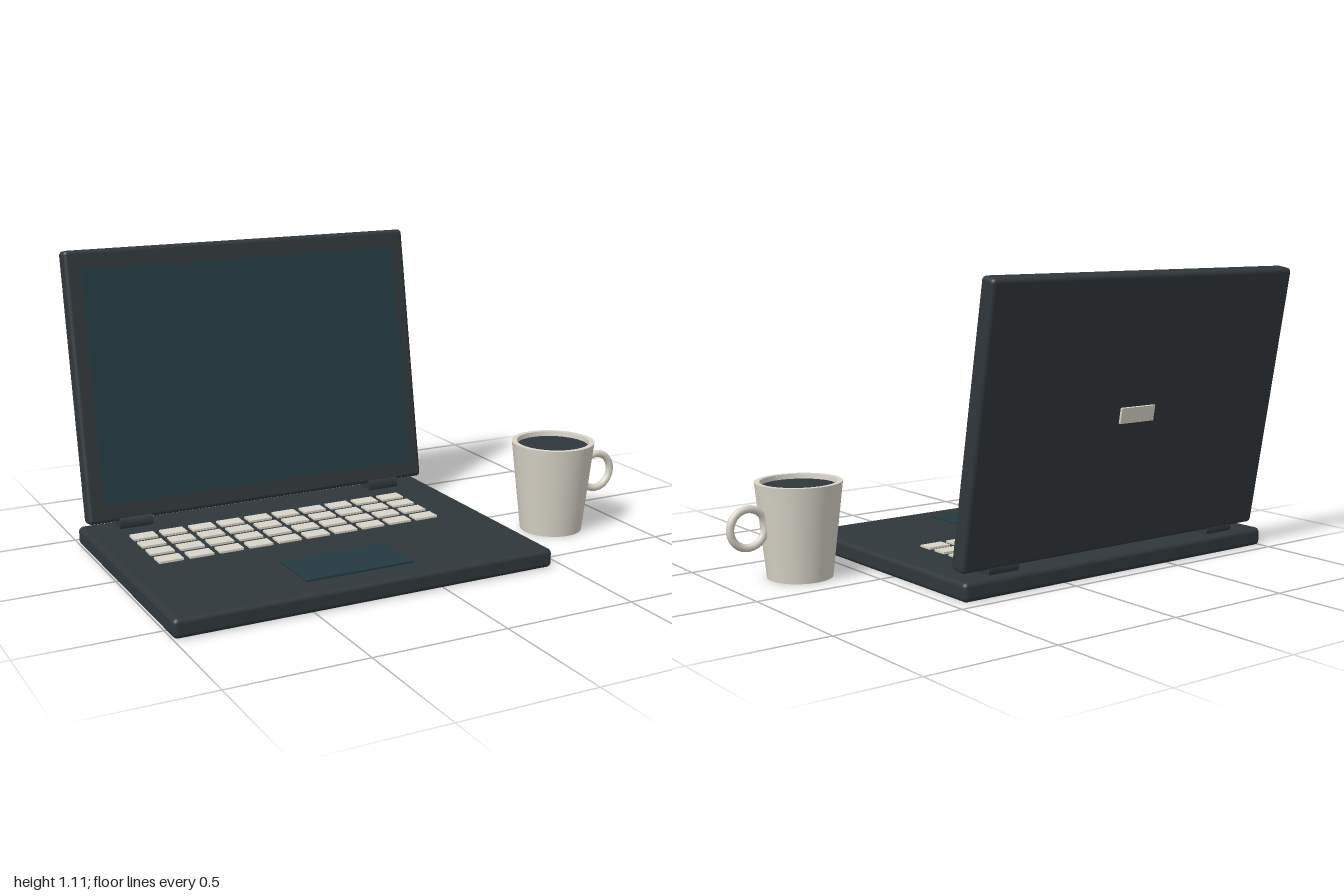
import * as THREE from 'three';
import { RoundedBoxGeometry } from 'three/addons/geometries/RoundedBoxGeometry.js';

const material = (color) => new THREE.MeshStandardMaterial({ color });
const dark = material(0x30373b);
const glass = material(0x233a41);
const pale = material(0xd8d4c8);

function add(parent, name, geometry, mat, x = 0, y = 0, z = 0) {
  const mesh = new THREE.Mesh(geometry, mat);
  mesh.name = name;
  mesh.position.set(x, y, z);
  parent.add(mesh);
  return mesh;
}

function createLaptop() {
  const laptop = new THREE.Group();
  laptop.name = 'laptop';
  const cx = -0.2725;

  // Base with touchpad
  add(laptop, 'base', new RoundedBoxGeometry(1.455, 0.07, 1.05, 3, 0.018), dark, cx, 0.035, 0.07);
  add(laptop, 'touchpad', new THREE.BoxGeometry(0.42, 0.012, 0.215), glass, cx, 0.071, 0.3775);

  // Keyboard: four rows of ten keys
  const keyboard = new THREE.Group();
  keyboard.name = 'keyboard';
  laptop.add(keyboard);
  const keyGeometry = new THREE.BoxGeometry(0.092, 0.014, 0.06);
  for (let row = 0; row < 4; row++) {
    for (let col = 0; col < 10; col++) {
      add(keyboard, 'key', keyGeometry, pale, -0.819 + col * 0.1155, 0.071, -0.217 + row * 0.0905);
    }
  }

  // Hinge barrels
  const hinge = new THREE.CylinderGeometry(0.038, 0.038, 0.13, 24).rotateZ(Math.PI / 2);
  for (const side of [-1, 1]) add(laptop, 'hinge', hinge, dark, cx + side * 0.53, 0.086, -0.378);

  // Lid, leaning back ten degrees, with screen and back plate
  const lid = new THREE.Group();
  lid.name = 'lid';
  lid.position.set(cx, 0.6, -0.471);
  lid.rotation.x = -THREE.MathUtils.degToRad(10);
  laptop.add(lid);
  add(lid, 'lidShell', new RoundedBoxGeometry(1.425, 1.028, 0.07, 3, 0.016), dark);
  add(lid, 'screen', new THREE.BoxGeometry(1.305, 0.885, 0.02), glass, 0, 0, 0.036);
  add(lid, 'backPlate', new THREE.BoxGeometry(0.16, 0.058, 0.016), pale, 0, 0, -0.036);
  return laptop;
}

function createMug() {
  const mug = new THREE.Group();
  mug.name = 'mug';
  mug.position.set(0.708, 0, 0.215);

  // Tapered cup: outer wall, flat rim and inner wall, each its own surface for sharp edges
  const walls = [
    ['cupBottom', [[0, 0], [0.12, 0]]],
    ['cupOuterWall', [[0.12, 0], [0.16, 0.353]]],
    ['cupRim', [[0.16, 0.353], [0.14, 0.353]]],
    ['cupInnerWall', [[0.14, 0.353], [0.136, 0.31]]],
  ];
  for (const [name, points] of walls) {
    const profile = points.map(([r, y]) => new THREE.Vector2(r, y));
    add(mug, name, new THREE.LatheGeometry(profile, 40), pale);
  }
  add(mug, 'drink', new THREE.CircleGeometry(0.139, 40).rotateX(-Math.PI / 2), dark, 0, 0.335, 0);

  // Ring handle
  add(mug, 'handle', new THREE.TorusGeometry(0.07, 0.0145, 12, 36), pale, 0.2075, 0.204, 0);
  return mug;
}

export function createModel() {
  const model = new THREE.Group();
  model.name = 'laptopAndMug';
  model.add(createLaptop(), createMug());
  return model;
}
